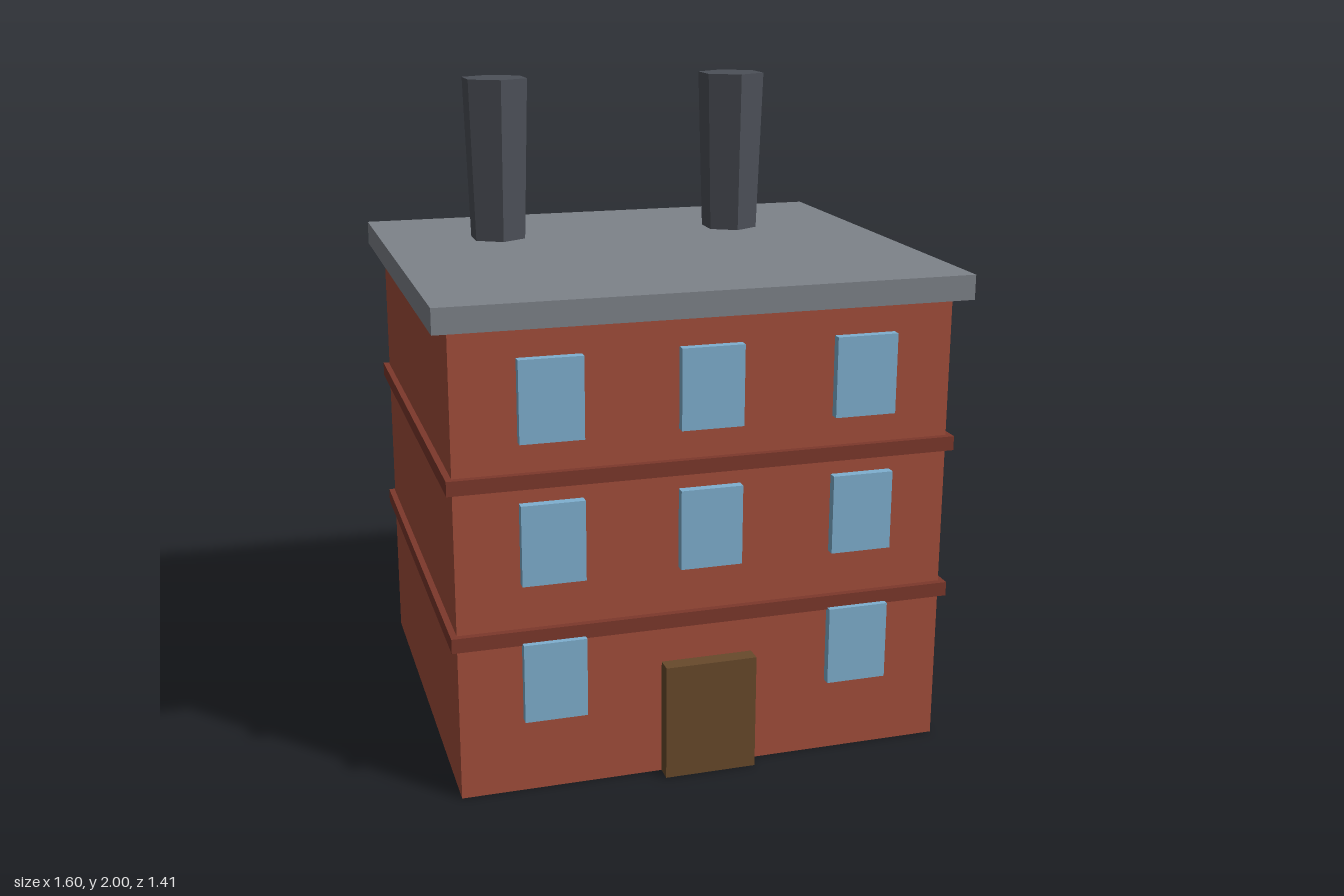
import * as THREE from 'three';

const mat = (name, color) => {
  const m = new THREE.MeshStandardMaterial({ color });
  m.name = name;
  return m;
};

export function createModel() {
  const group = new THREE.Group();
  group.name = 'building';

  const brick = mat('brick red', 0xa34e3b);
  const trim = mat('dark brick', 0x7d382b);
  const slate = mat('slate grey', 0x7e838a);
  const soot = mat('soot grey', 0x4c5058);
  soot.flatShading = true;
  const glass = mat('window blue', 0x7fb0d0);
  const wood = mat('door brown', 0x684a2b);

  const add = (name, geometry, material, x, y, z) => {
    const mesh = new THREE.Mesh(geometry, material);
    mesh.name = name;
    mesh.position.set(x, y, z);
    group.add(mesh);
  };
  const box = (name, material, w, h, d, x, y, z) =>
    add(name, new THREE.BoxGeometry(w, h, d), material, x, y, z);

  // Walls and overhanging flat roof
  box('walls', brick, 1.5, 1.41, 1.31, 0, 0.705, 0);
  box('roof', slate, 1.595, 0.075, 1.405, 0, 1.4475, 0);

  // Ledges between the floors
  for (const y of [0.494, 0.965]) box('floorLedge', trim, 1.537, 0.044, 1.35, 0, y, 0);

  // Windows stand just proud of the front wall; the door takes the bottom middle bay
  [0.357, 0.78, 1.202].forEach((y, floor) => {
    for (const x of [-0.47, 0, 0.47]) {
      if (floor === 0 && x === 0) continue;
      box('window', glass, 0.187, 0.242, 0.028, x, y, 0.679);
    }
  });
  box('door', wood, 0.281, 0.358, 0.05, 0, 0.179, 0.68);

  // Hexagonal chimneys, widening upwards
  for (const x of [-0.422, 0.375])
    add('chimney', new THREE.CylinderGeometry(0.11, 0.093, 0.515, 6), soot, x, 1.7425, -0.285);

  return group;
}
